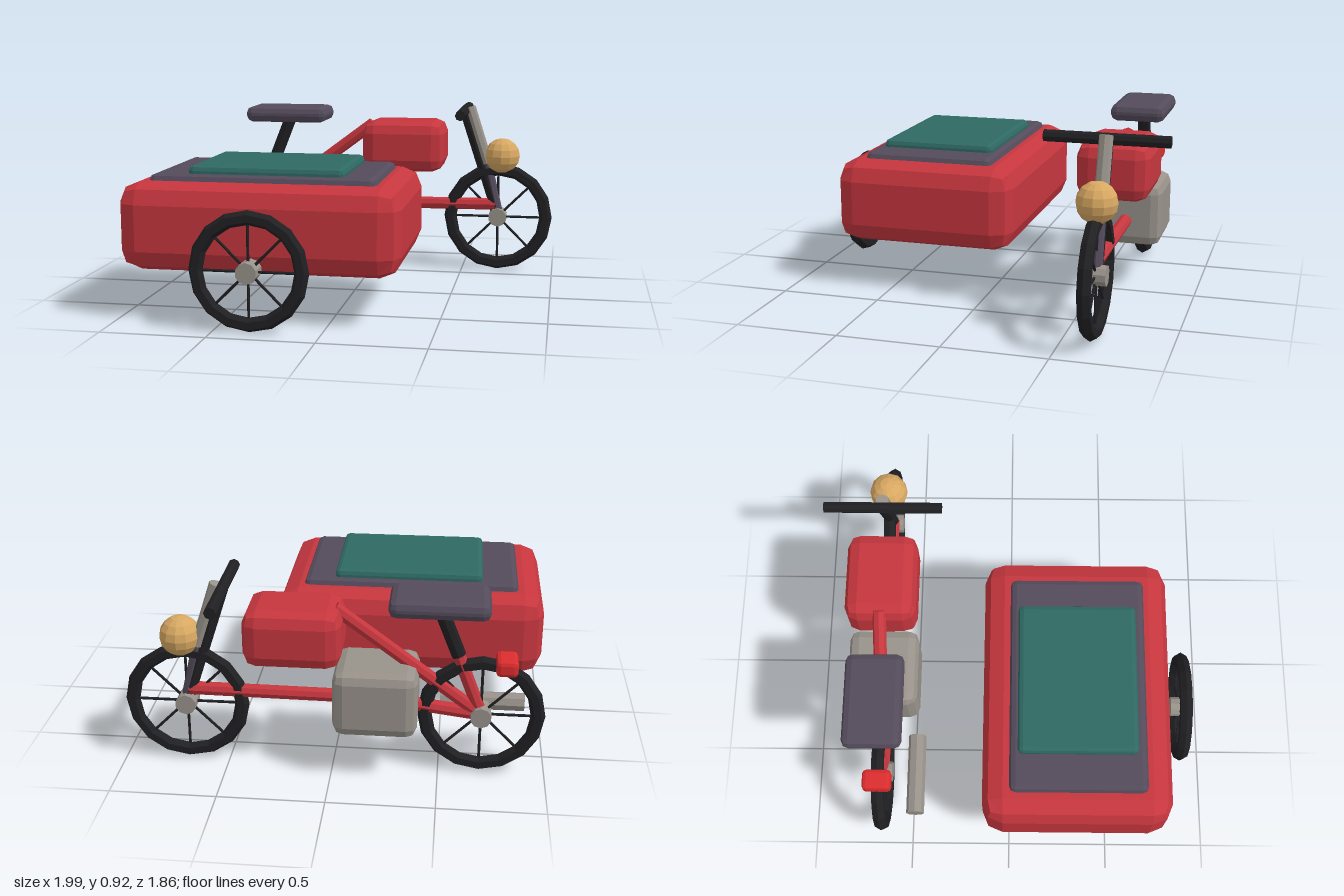
import * as THREE from 'three';
import { RoundedBoxGeometry } from 'three/addons/geometries/RoundedBoxGeometry.js';

const BIKE_Z = -0.64;

function material(name, color) {
  const m = new THREE.MeshStandardMaterial({ color });
  m.name = name;
  return m;
}

// Faceted normals for the low-poly look
function faceted(geometry) {
  const g = geometry.index ? geometry.toNonIndexed() : geometry;
  g.computeVertexNormals();
  return g;
}

export function createModel() {
  const red = material('body red', 0xc6363e);
  const plum = material('upholstery plum', 0x544b5b);
  const teal = material('cover teal', 0x2f6963);
  const metal = material('metal grey', 0x98928a);
  const black = material('rubber black', 0x202023);
  const amber = material('lamp amber', 0xd8a862);
  const signal = material('tail light red', 0xdc2c2e);

  const model = new THREE.Group();
  model.name = 'sidecarMotorcycle';

  function add(name, geometry, mat, parent = model) {
    const mesh = new THREE.Mesh(faceted(geometry), mat);
    mesh.name = name;
    parent.add(mesh);
    return mesh;
  }

  // Bevelled box given by its min and max on each axis
  function block(name, mat, [x0, x1], [y0, y1], [z0, z1], bevel) {
    const mesh = add(name, new RoundedBoxGeometry(x1 - x0, y1 - y0, z1 - z0, 1, bevel), mat);
    mesh.position.set((x0 + x1) / 2, (y0 + y1) / 2, (z0 + z1) / 2);
    return mesh;
  }

  // Round bar between two points
  function bar(name, mat, from, to, radius, sides = 8, parent = model) {
    const a = new THREE.Vector3(...from), b = new THREE.Vector3(...to);
    const dir = b.clone().sub(a);
    const mesh = add(name, new THREE.CylinderGeometry(radius, radius, dir.length(), sides), mat, parent);
    mesh.position.copy(a).add(b).multiplyScalar(0.5);
    mesh.quaternion.setFromUnitVectors(new THREE.Vector3(0, 1, 0), dir.normalize());
    return mesh;
  }

  // Tyre, hub and eight spokes
  function wheel(name, x, y, z, radius) {
    const g = new THREE.Group();
    g.name = name;
    g.position.set(x, y, z);
    const tube = 0.034;
    add('tyre', new THREE.TorusGeometry(radius - tube, tube, 6, 16), black, g);
    bar('hub', metal, [0, 0, -0.05], [0, 0, 0.05], 0.05, 10, g);
    for (let i = 0; i < 8; i++) {
      const a = (i * Math.PI) / 4, r = radius - tube;
      bar('spoke', black, [0, 0, 0], [Math.cos(a) * r, Math.sin(a) * r, 0], 0.007, 5, g);
    }
    model.add(g);
  }

  wheel('frontWheel', 0.695, 0.303, BIKE_Z, 0.298);
  wheel('rearWheel', -0.692, 0.303, BIKE_Z, 0.298);
  wheel('sidecarWheel', -0.33, 0.286, 0.88, 0.281);

  // Sidecar with its padded top
  block('sidecarBody', red, [-1, 0.34], [0.235, 0.655], [-0.13, 0.79], 0.1);
  block('sidecarPad', plum, [-0.87, 0.215], [0.6, 0.685], [0, 0.665], 0.03);
  block('sidecarCover', teal, [-0.69, 0.06], [0.655, 0.723], [0.04, 0.62], 0.025);

  // Engine, tank and seat
  block('engine', metal, [-0.4, -0.01], [0.235, 0.555], [-0.815, -0.465], 0.05);
  block('fuelTank', red, [-0.05, 0.4], [0.56, 0.835], [-0.815, -0.465], 0.065);
  block('seat', plum, [-0.715, -0.26], [0.82, 0.905], [-0.78, -0.5], 0.035);
  block('tailLight', signal, [-0.85, -0.75], [0.525, 0.605], [-0.71, -0.57], 0.02);

  // Frame tubes
  bar('rearLowerTube', red, [-0.692, 0.303, BIKE_Z], [-0.2, 0.365, BIKE_Z], 0.033);
  bar('frontLowerTube', red, [-0.2, 0.365, BIKE_Z], [0.68, 0.372, BIKE_Z], 0.033);
  bar('upperTube', red, [-0.692, 0.303, BIKE_Z], [-0.01, 0.812, BIKE_Z], 0.033);
  bar('seatStay', red, [-0.692, 0.303, BIKE_Z], [-0.555, 0.66, BIKE_Z], 0.031);
  bar('seatPost', black, [-0.58, 0.6, BIKE_Z], [-0.485, 0.84, BIKE_Z], 0.034);

  // Front fork, steering column and handlebar
  bar('steeringColumn', black, [0.68, 0.36, BIKE_Z], [0.505, 0.89, BIKE_Z], 0.03);
  bar('upperFork', metal, [0.63, 0.6, BIKE_Z], [0.53, 0.91, BIKE_Z], 0.033);
  bar('lowerFork', plum, [0.7, 0.303, BIKE_Z], [0.63, 0.6, BIKE_Z], 0.028);
  bar('handlebar', black, [0.503, 0.888, -0.93], [0.503, 0.888, -0.345], 0.028);

  // Headlamp and exhaust
  add('headlamp', new THREE.SphereGeometry(0.097, 12, 8), amber).position.set(0.713, 0.644, BIKE_Z);
  bar('exhaust', metal, [-0.9, 0.285, -0.472], [-0.5, 0.285, -0.472], 0.045);

  return model;
}
